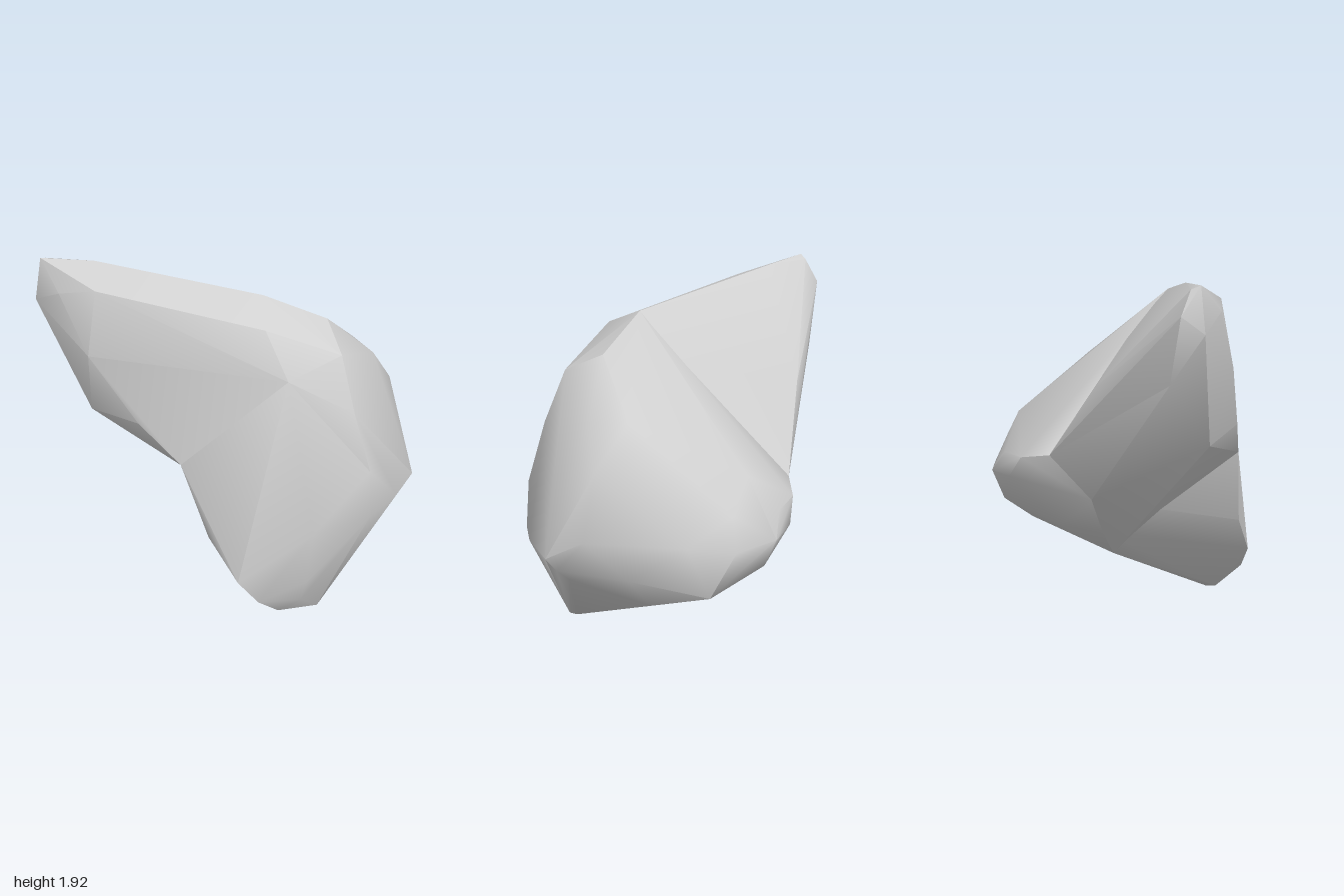
import * as THREE from 'three';
import { ConvexGeometry } from 'three/addons/geometries/ConvexGeometry.js';
import { toCreasedNormals } from 'three/addons/utils/BufferGeometryUtils.js';

// Corners of the upper left end
const tip = [
  [-0.96, 1.92, -0.3], [-0.9, 1.9, -0.28], [-0.93, 1.9, -0.34], [-1, 1.68, -0.3],
  [-0.95, 1.77, -0.41], [-0.85, 1.42, -0.41], [-0.65, 1.64, -0.42], [-0.89, 1.78, -0.13],
  [-0.68, 1.915, -0.21], [-0.71, 1.83, -0.01],
];
const armLowerEdge = [[-0.77, 1.47, 0.03], [-0.75, 1.07, -0.1], [-0.54, 1.13, 0.22]];
const armBackEdge = [[-0.33, 1.37, -0.53], [-0.2, 1.17, -0.56]];

// Corners shared by neighbouring lumps
const ridgeEnd = [[0.15, 1.82, 0.21]];
const shoulder = [
  [0.49, 1.67, 0.26], [0.51, 1.56, 0.48], [0.56, 1.26, 0.59], [0.64, 0.93, 0.66],
];
const frontMiddle = [[0.11, 1.72, 0.42], [0.2, 1.48, 0.56], [-0.34, 0.93, 0.37]];
const waist = [
  [0.08, 0.33, -0.2], [-0.04, 0.5, -0.34], [-0.17, 0.72, -0.48], [0.03, 0.95, -0.63],
];
const footRight = [
  [0.65, 0.65, 0.68], [0.31, 0.62, 0.74], [0.3, 0.26, 0.68], [0.28, 0.12, 0.65],
  [0.4, 0, 0.57], [0.4, 0, 0.52], [0.2, 0, 0.52], [0.39, 0.23, 0.03],
];
const footLeft = [
  [-0.21, 0.5, 0.47], [-0.08, 0.28, 0.63], [0.03, 0.15, 0.66], [0.17, 0, 0.57],
];

const bulgeSide = [
  [0.78, 1.4, 0.2], [0.72, 1.41, 0], [0.92, 1.18, 0.1], [1, 0.82, 0.13], [1, 0.68, 0.36],
  [0.99, 0.62, 0.3], [0.95, 0.56, 0.25], [0.84, 0.68, 0.55], [0.94, 0.62, -0.1],
  [0.89, 0.85, -0.41], [0.8, 0.42, -0.15], [0.8, 0.54, -0.5],
];
const bulgeBack = [
  [0.5, 1.13, -0.58], [0.67, 0.97, -0.57], [0.74, 0.8, -0.62], [0.51, 0.8, -0.75],
  [0.3, 0.8, -0.745], [0.5, 0.63, -0.68], [0.2, 0.92, -0.72], [0.4, 0.92, -0.72],
  [0.15, 0.52, -0.5], [0.5, 0.5, -0.5], [0.3, 0.41, -0.33],
];

export function createModel() {
  const stone = new THREE.MeshStandardMaterial({ color: 0xd0d0d0 });
  stone.name = 'stone grey';

  const group = new THREE.Group();
  group.name = 'rock';

  const addHull = (name, crease, ...rings) => {
    const corners = rings.flat().map((p) => new THREE.Vector3(...p));
    const mesh = new THREE.Mesh(toCreasedNormals(new ConvexGeometry(corners), crease), stone);
    mesh.name = name;
    group.add(mesh);
  };
  addHull('leaningArm', 0.6, tip, armLowerEdge, armBackEdge, ridgeEnd, shoulder, frontMiddle, waist);
  addHull('foot', 0.7, footLeft, footRight, frontMiddle, shoulder, waist);
  addHull('sideBulge', 0.85, footRight, shoulder, ridgeEnd, waist, bulgeSide, bulgeBack);
  return group;
}
